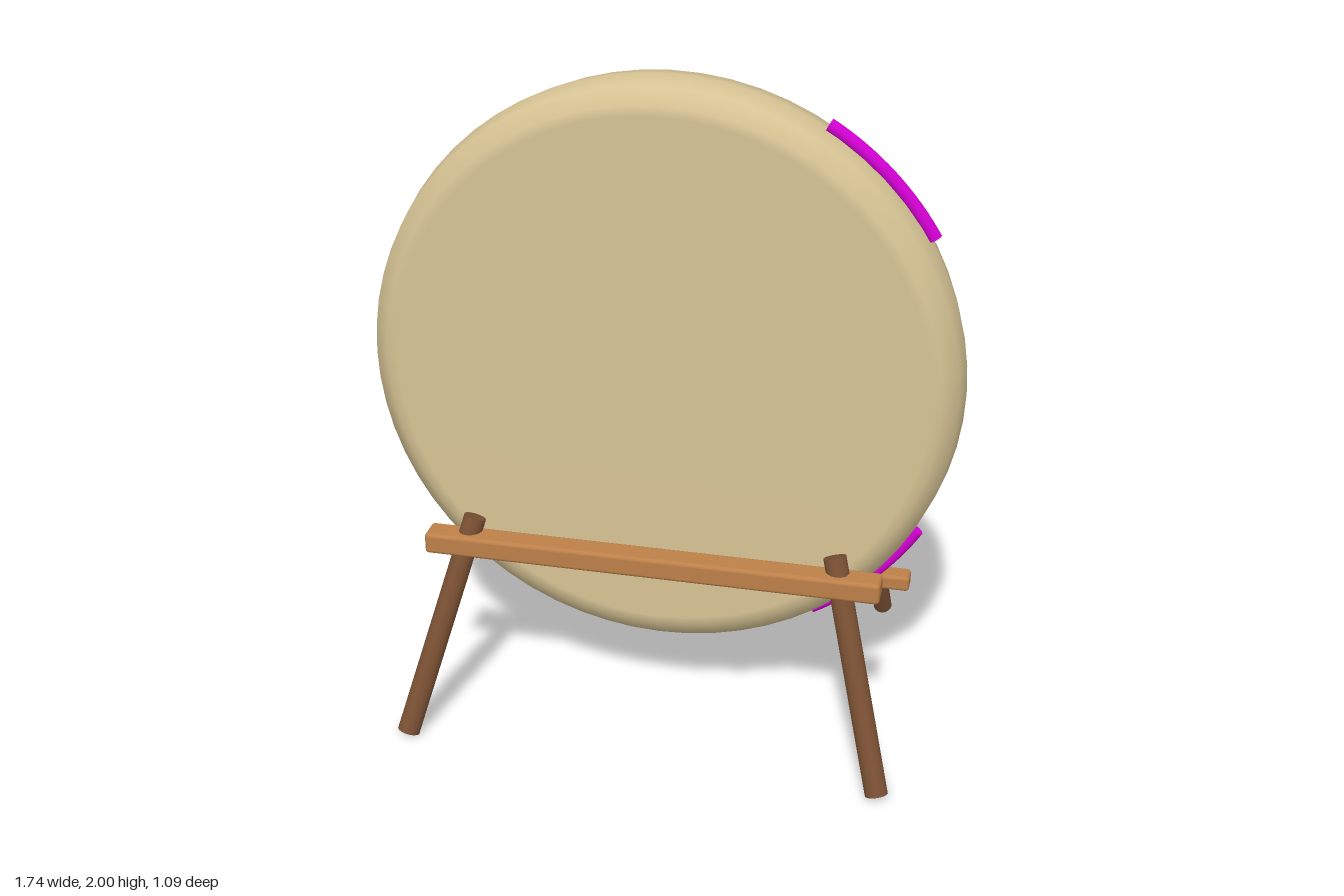
import * as THREE from 'three';
import { RoundedBoxGeometry } from 'three/addons/geometries/RoundedBoxGeometry.js';

const mat = (name, color, side = THREE.FrontSide) => {
  const m = new THREE.MeshStandardMaterial({ color, side });
  m.name = name;
  return m;
};

export function createModel() {
  const cream = mat('cream', 0xd6c394);
  const darkWood = mat('dark wood', 0x7a5033);
  const lightWood = mat('light wood', 0xbd8049);
  const magenta = mat('magenta', 0xd400d4);

  const model = new THREE.Group();
  model.name = 'discOnStand';
  const add = (name, geometry, material, x = 0, y = 0, z = 0, parent = model) => {
    const mesh = new THREE.Mesh(geometry, material);
    mesh.name = name;
    mesh.position.set(x, y, z);
    parent.add(mesh);
    return mesh;
  };

  // Round disc with a softened rim, axis along z
  const CY = 1.13, CZ = 0.12;
  const profile = [
    [0, -0.12], [0.78, -0.12], [0.81, -0.118], [0.855, -0.085], [0.869, 0],
    [0.855, 0.085], [0.81, 0.118], [0.78, 0.12], [0, 0.12],
  ].map(([r, y]) => new THREE.Vector2(r, y));
  const discGeometry = new THREE.LatheGeometry(profile, 64).rotateX(Math.PI / 2);
  add('disc', discGeometry, cream, 0, CY, CZ);

  // Curved strips on the rim, upper and lower left
  const R = 0.88, r = 0.02, start = THREE.MathUtils.degToRad(31), sweep = THREE.MathUtils.degToRad(28);
  for (const [name, a0] of [['upperRimStrip', start], ['lowerRimStrip', -start - sweep]]) {
    const strip = new THREE.Group();
    strip.name = name;
    strip.position.set(0, CY, CZ);
    strip.rotation.z = a0;
    model.add(strip);
    add('stripBody', new THREE.TorusGeometry(R, r, 10, 16, sweep), magenta, 0, 0, 0, strip);
    // Flat end caps
    const startCap = new THREE.CircleGeometry(r, 10).rotateX(Math.PI / 2);
    add('stripStart', startCap, magenta, R, 0, 0, strip);
    const endCap = new THREE.CircleGeometry(r, 10).rotateX(-Math.PI / 2);
    add('stripEnd', endCap, magenta, R * Math.cos(sweep), R * Math.sin(sweep), 0, strip).rotation.z = sweep;
  }

  // Splayed legs, mirrored left and right
  const up = new THREE.Vector3(0, 1, 0);
  const leg = (name, foot, top, radius) => {
    const a = new THREE.Vector3(...foot), b = new THREE.Vector3(...top);
    const dir = b.clone().sub(a);
    const mesh = add(name, new THREE.CylinderGeometry(radius, radius, dir.length(), 16), darkWood);
    mesh.position.copy(a).add(b).multiplyScalar(0.5);
    mesh.quaternion.setFromUnitVectors(up, dir.normalize());
  };
  for (const [side, s] of [['left', 1], ['right', -1]]) {
    leg(side + 'FrontLeg', [s * 0.715, 0.012, 0.515], [s * 0.54, 0.665, 0.308], 0.034);
    leg(side + 'BackLeg', [s * 0.61, 0.014, -0.518], [s * 0.537, 0.915, -0.058], 0.03);
  }

  // Cross rails
  add('frontRail', new RoundedBoxGeometry(1.36, 0.066, 0.08, 2, 0.012), lightWood, 0, 0.593, 0.337);
  add('backRail', new RoundedBoxGeometry(1.43, 0.052, 0.068, 2, 0.012), lightWood, 0, 0.27, -0.272);

  return model;
}
